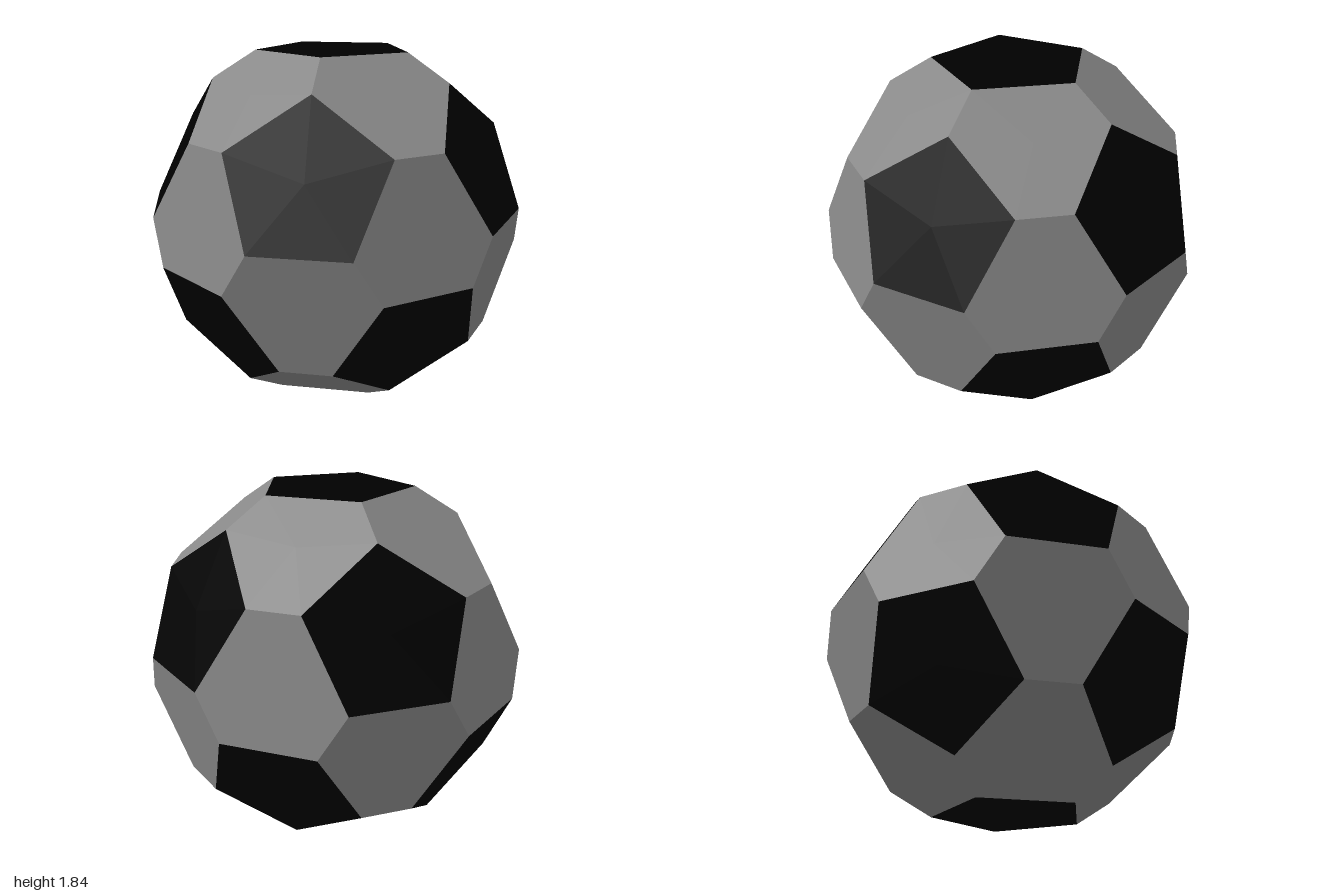
import * as THREE from 'three';

const RADIUS = 1.1756; // circumradius of the base icosahedron
const CUT = 0.3935;    // share of each edge cut away at each corner
const HEIGHT = 2 * RADIUS * (1 - CUT * (1 - 1 / Math.sqrt(5)));

// Icosahedron corners: two poles and two staggered rings of five
function icosahedronCorners() {
  const corners = [new THREE.Vector3(0, RADIUS, 0), new THREE.Vector3(0, -RADIUS, 0)];
  const y = RADIUS / Math.sqrt(5);
  for (let i = 0; i < 5; i++) {
    const a = (i * Math.PI * 2) / 5;
    const upper = new THREE.Vector3(2 * y * Math.cos(a), y, 2 * y * Math.sin(a));
    corners.push(upper, upper.clone().negate());
  }
  return corners;
}

// Adds one flat convex panel as a fan, its corners sorted to face outward
function addPanel(positions, points) {
  const centre = new THREE.Vector3();
  points.forEach((p) => centre.addScaledVector(p, 1 / points.length));
  const normal = centre.clone().normalize();
  const u = points[0].clone().sub(centre).normalize();
  const v = normal.clone().cross(u);
  const angle = (p) => {
    const d = p.clone().sub(centre);
    return Math.atan2(d.dot(v), d.dot(u));
  };
  const ring = [...points].sort((a, b) => angle(a) - angle(b));
  ring.forEach((p, i) => {
    const q = ring[(i + 1) % ring.length];
    positions.push(...centre.toArray(), ...p.toArray(), ...q.toArray());
  });
}

function panelMesh(name, positions, color) {
  const geometry = new THREE.BufferGeometry();
  geometry.setAttribute('position', new THREE.Float32BufferAttribute(positions, 3));
  geometry.computeVertexNormals();
  const mesh = new THREE.Mesh(geometry, new THREE.MeshStandardMaterial({ color, flatShading: true }));
  mesh.name = name;
  mesh.position.y = HEIGHT / 2;
  return mesh;
}

export function createModel() {
  const corners = icosahedronCorners();
  const joined = (a, b) => a !== b && a.distanceTo(b) < RADIUS * 1.2;
  const cut = (a, b) => a.clone().lerp(b, CUT);
  const pentagons = [];
  const hexagons = [];

  corners.forEach((a, i) => {
    // A pentagon where each corner is cut off
    addPanel(pentagons, corners.filter((b) => joined(a, b)).map((b) => cut(a, b)));

    // A hexagon left on each triangle
    for (let j = i + 1; j < corners.length; j++) {
      for (let k = j + 1; k < corners.length; k++) {
        const b = corners[j];
        const c = corners[k];
        if (!joined(a, b) || !joined(b, c) || !joined(a, c)) continue;
        addPanel(hexagons, [cut(a, b), cut(b, a), cut(b, c), cut(c, b), cut(c, a), cut(a, c)]);
      }
    }
  });

  const ball = new THREE.Group();
  ball.name = 'ball';
  ball.add(panelMesh('pentagonPanels', pentagons, 0x000000));
  ball.add(panelMesh('hexagonPanels', hexagons, 0x888888));
  return ball;
}
